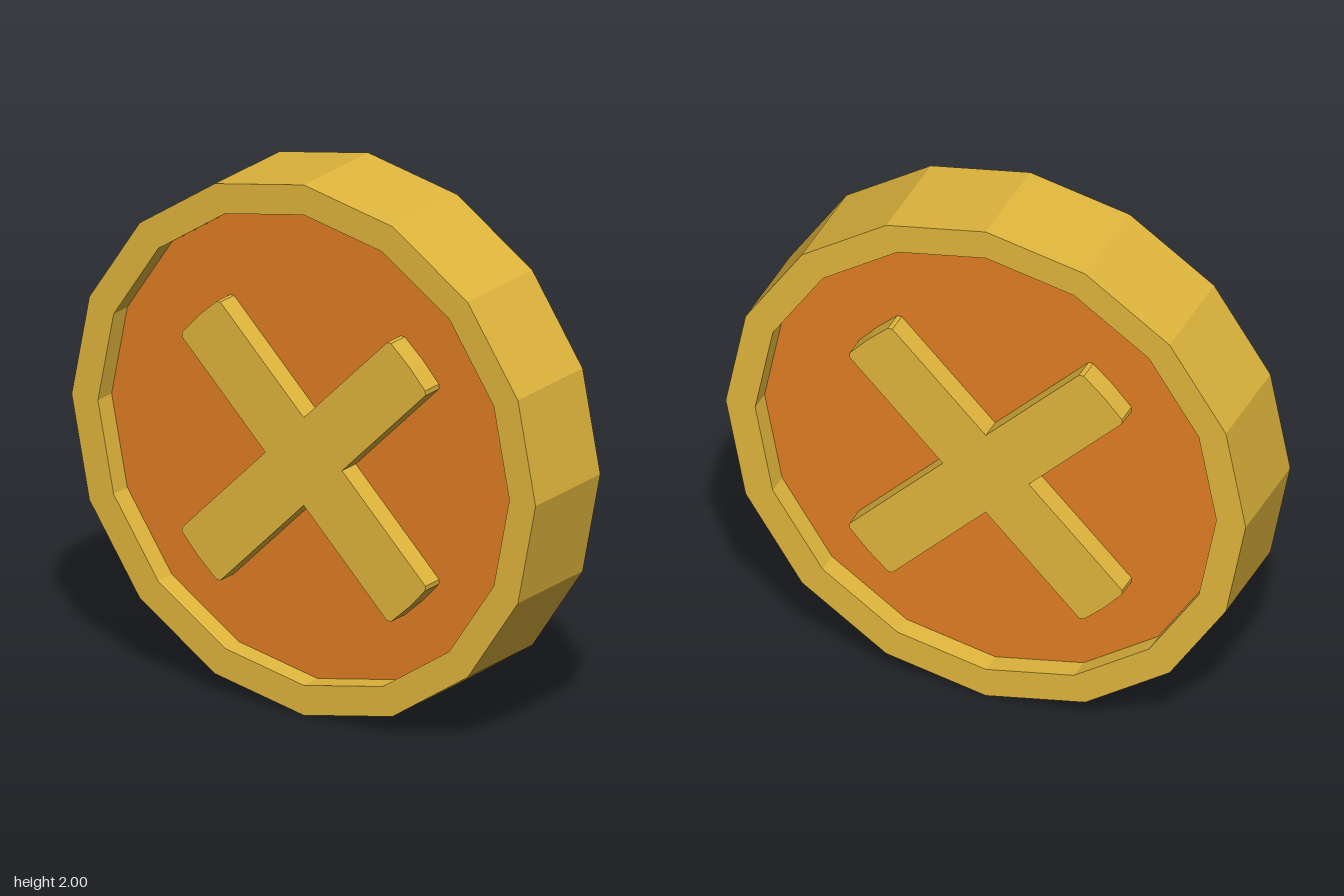
import * as THREE from 'three';

const GOLD = 0xe2b73d, ORANGE = 0xe27f24;
const SIDES = 16, OUTER = 1, INNER = 0.887, DEPTH = 0.4, RECESS = 0.085;

const polygon = (radius) => Array.from({ length: SIDES }, (_, i) => {
  const a = (i / SIDES) * Math.PI * 2;
  return new THREE.Vector2(Math.cos(a) * radius, Math.sin(a) * radius);
});

// Diagonal cross outline: one arm repeated four times
function crossShape() {
  const h = 0.117;
  const arm = [[h, -h], [0.625, -h], [0.637, -0.104], [0.642, 0], [0.637, 0.104], [0.625, h]];
  const points = [];
  for (let i = 0; i < 4; i++) {
    const turn = Math.PI / 4 + (i * Math.PI) / 2;
    for (const [x, y] of arm) {
      points.push(new THREE.Vector2(x, y).rotateAround(new THREE.Vector2(), turn));
    }
  }
  return new THREE.Shape(points);
}

// Extrusion starting at depth z
function slab(name, shape, z, depth, color) {
  const geometry = new THREE.ExtrudeGeometry(shape, { depth, bevelEnabled: false });
  geometry.translate(0, 0, z);
  const mesh = new THREE.Mesh(geometry, new THREE.MeshStandardMaterial({ color, flatShading: true }));
  mesh.name = name;
  mesh.position.y = 1;
  return mesh;
}

export function createModel() {
  const group = new THREE.Group();
  group.name = 'coin';

  // Raised rim
  const rimShape = new THREE.Shape(polygon(OUTER));
  rimShape.holes.push(new THREE.Path(polygon(INNER)));
  group.add(slab('rim', rimShape, -DEPTH / 2, DEPTH, GOLD));

  // Recessed centre
  const face = DEPTH / 2 - RECESS;
  group.add(slab('centreDisc', new THREE.Shape(polygon(INNER)), -face, face * 2, ORANGE));

  // Raised cross on each face, flush with the rim
  for (const [name, z] of [['frontCross', face], ['backCross', -DEPTH / 2]]) {
    const cross = slab(name, crossShape(), z, RECESS, GOLD);
    cross.position.y = 0.957;
    group.add(cross);
  }
  return group;
}
